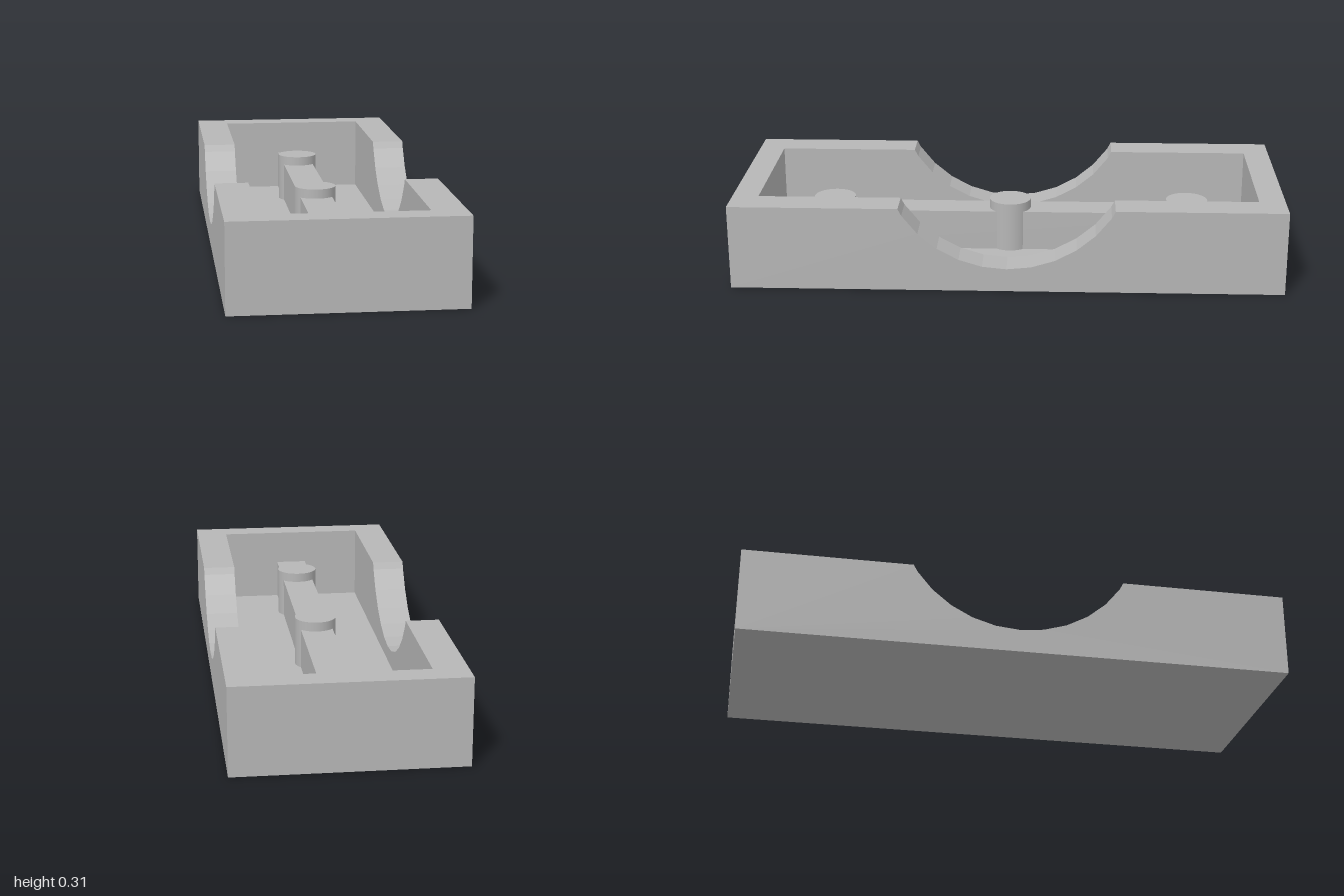
import * as THREE from 'three';

const W = 0.8, H = 0.31, L = 2;       // outer tray size
const SIDE = 0.12, END = 0.095;       // wall thicknesses
const FLOOR = 0.03;                   // floor thickness

export function createModel() {
  const model = new THREE.Group();
  const grey = new THREE.MeshStandardMaterial({ color: 0xb6b6b6 });
  grey.name = 'plain grey';

  const add = (name, geometry, x, y, z) => {
    const mesh = new THREE.Mesh(geometry, grey);
    mesh.name = name;
    mesh.position.set(x, y, z);
    model.add(mesh);
  };

  // Side wall profile with a faceted round notch in the top edge
  const R = 0.45, centreY = 0.535, step = Math.PI / 16;
  const profile = new THREE.Shape();
  profile.moveTo(-L / 2, 0);
  profile.lineTo(L / 2, 0);
  profile.lineTo(L / 2, H);
  profile.lineTo(0.387, H);
  for (let i = 5; i >= -5; i--) {
    profile.lineTo(R * Math.sin(i * step), centreY - R * Math.cos(i * step));
  }
  profile.lineTo(-0.387, H);
  profile.lineTo(-L / 2, H);
  profile.closePath();
  const wall = new THREE.ExtrudeGeometry(profile, { depth: SIDE, bevelEnabled: false });
  wall.translate(0, 0, -SIDE / 2);
  wall.rotateY(-Math.PI / 2);

  const innerW = W - 2 * SIDE, innerL = L - 2 * END;
  for (const s of [1, -1]) {
    add(s > 0 ? 'leftWall' : 'rightWall', wall, s * (W - SIDE) / 2, 0, 0);
    add(s > 0 ? 'frontWall' : 'backWall', new THREE.BoxGeometry(innerW, H, END), 0, H / 2, s * (L - END) / 2);
  }
  add('floor', new THREE.BoxGeometry(innerW, FLOOR, innerL), 0, FLOOR / 2, 0);

  // Central rib along the cavity, with three round posts
  const ribH = 0.18 - FLOOR, postH = 0.215 - FLOOR;
  add('rib', new THREE.BoxGeometry(0.12, ribH, innerL), 0, FLOOR + ribH / 2, 0);
  for (const z of [-0.667, 0, 0.667]) {
    add('post', new THREE.CylinderGeometry(0.078, 0.078, postH, 32), 0, FLOOR + postH / 2, z);
  }
  return model;
}
